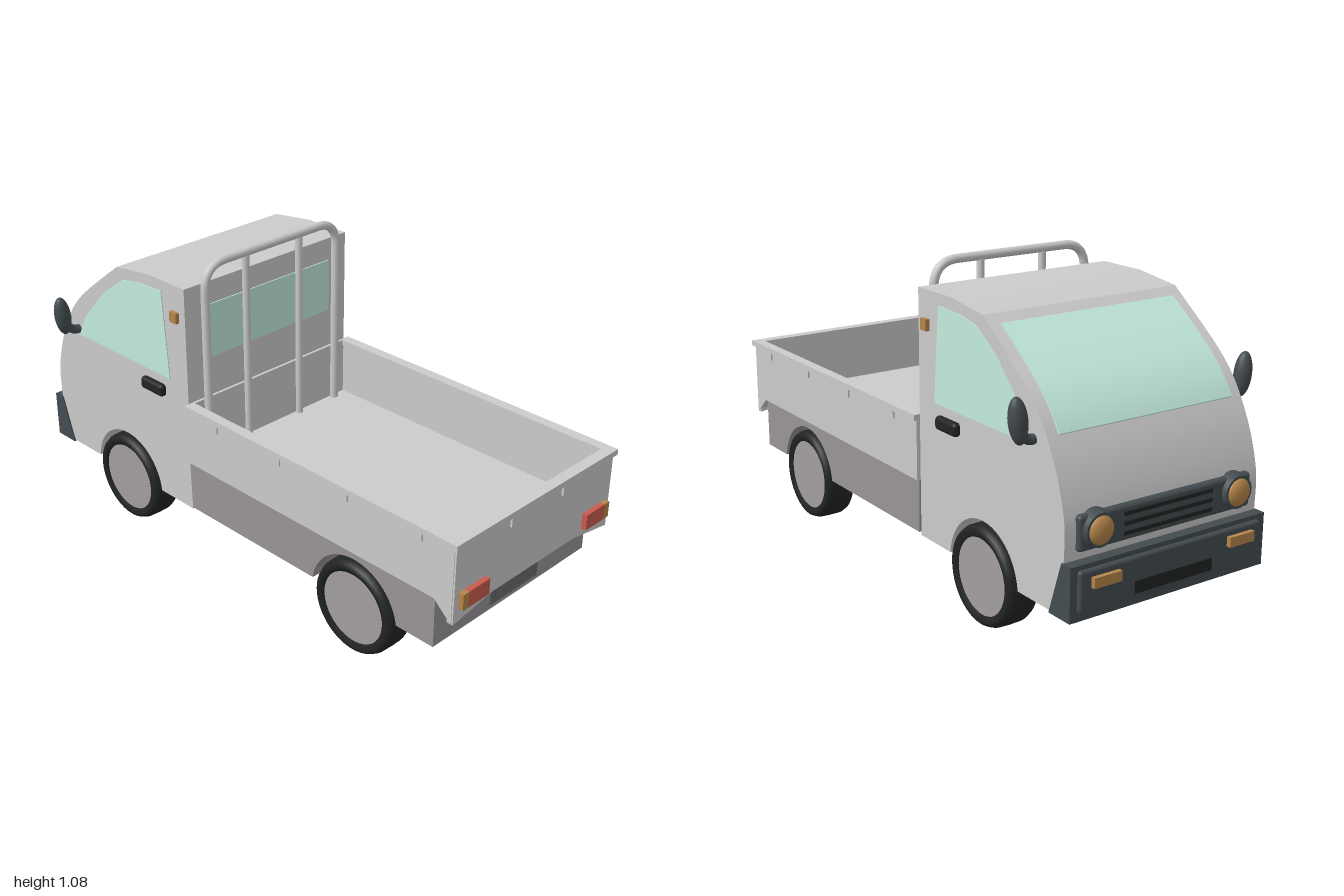
import * as THREE from 'three';
import { toCreasedNormals } from 'three/addons/utils/BufferGeometryUtils.js';
import { RoundedBoxGeometry } from 'three/addons/geometries/RoundedBoxGeometry.js';

const mat = (color) => new THREE.MeshStandardMaterial({ color });
const V = (x, y, z) => new THREE.Vector3(x, y, z);

export function createModel() {
  const body = mat(0xcccccc), under = mat(0x989497), tyre = mat(0x222424), hubMat = mat(0xa39d9e),
    glass = mat(0xc4ecdc), amber = mat(0xb5854a), red = mat(0xc85a4a), dark = mat(0x444c50), plateMat = mat(0x666a6c);
  const truck = new THREE.Group();
  truck.name = 'pickupTruck';

  const add = (name, geo, m, x = 0, y = 0, z = 0) => {
    const mesh = new THREE.Mesh(geo, m);
    mesh.name = name;
    mesh.position.set(x, y, z);
    truck.add(mesh);
    return mesh;
  };
  // box given by its limits on each axis
  const box = (name, m, x0, x1, y0, y1, z0, z1) =>
    add(name, new THREE.BoxGeometry(x1 - x0, y1 - y0, z1 - z0), m, (x0 + x1) / 2, (y0 + y1) / 2, (z0 + z1) / 2);
  const shapeOf = (pts) => new THREE.Shape(pts.map(([x, y]) => new THREE.Vector2(x, y)));
  // side profile in x/y, extruded from z0 to z1
  const slab = (shape, z0, z1) => {
    const g = new THREE.ExtrudeGeometry(shape, { depth: z1 - z0, bevelEnabled: false, curveSegments: 28 });
    return toCreasedNormals(g.translate(0, 0, z0), 0.4);
  };
  const FRONT = -0.54, REAR = 0.58, AXLE = 0.163, ARCH = 0.18;
  const arch = (s, x, y) => {
    const a = Math.asin((y - AXLE) / ARCH);
    s.lineTo(x + ARCH * Math.cos(a), y);
    s.absarc(x, AXLE, ARCH, a, Math.PI - a, false);
  };

  // cab with curved nose and wheel arches
  const nose = new THREE.SplineCurve([[-0.935, 0.34], [-0.932, 0.48], [-0.875, 0.645], [-0.77, 0.795], [-0.54, 0.978]]
    .map(([x, y]) => new THREE.Vector2(x, y))).getPoints(40);
  const cab = new THREE.Shape();
  cab.moveTo(-0.37, 1);
  cab.lineTo(-0.19, 1);
  cab.lineTo(-0.19, 0.18);
  arch(cab, FRONT, 0.18);
  cab.lineTo(-0.875, 0.18);
  nose.forEach((p) => cab.lineTo(p.x, p.y));
  add('cab', slab(cab, -0.37, 0.37), body);
  box('frontWheelWell', under, -0.74, -0.34, 0.181, 0.36, -0.26, 0.26);

  // windscreen follows the nose curve
  const strip = nose.filter((p) => p.x > -0.855 && p.x < -0.555);
  const outer = strip.map((p) => [p.x - 0.004, p.y + 0.004]);
  const inner = strip.map((p) => [p.x + 0.01, p.y - 0.01]).reverse();
  add('windscreen', slab(shapeOf([...outer, ...inner]), -0.33, 0.33), glass);
  box('rearWindow', glass, -0.195, -0.186, 0.73, 0.92, -0.285, 0.285);

  // chassis
  const chassis = new THREE.Shape();
  chassis.moveTo(-0.19, 0.37);
  chassis.lineTo(0.905, 0.37);
  chassis.lineTo(0.905, 0.19);
  arch(chassis, REAR, 0.19);
  chassis.lineTo(-0.185, 0.19);
  add('chassis', slab(chassis, -0.375, 0.375), under);
  box('rearWheelWell', under, 0.38, 0.78, 0.191, 0.36, -0.26, 0.26);
  add('rearPlate', new RoundedBoxGeometry(0.014, 0.08, 0.24, 2, 0.006), plateMat, 0.906, 0.25, 0);

  // load bed
  box('bedFloor', body, -0.188, 0.96, 0.365, 0.385, -0.37, 0.37);
  box('bedHeadboard', body, -0.188, -0.178, 0.37, 0.59, -0.37, 0.37);
  const sidePanel = shapeOf([[-0.188, 0.37], [0.905, 0.37], [0.972, 0.31], [0.972, 0.575], [-0.188, 0.575]]);
  const tail = slab(shapeOf([[-0.38, 0.31], [-0.2, 0.34], [0.2, 0.34], [0.38, 0.31], [0.38, 0.575], [-0.38, 0.575]]), 0.955, 0.978);
  add('tailgate', tail.rotateY(Math.PI / 2), body);
  box('tailgateRim', body, 0.948, 0.987, 0.57, 0.59, -0.39, 0.39);
  for (const z of [-0.125, 0.125]) box('tailgateLatch', body, 0.975, 0.985, 0.537, 0.572, z - 0.013, z + 0.013);

  // bars behind the cab
  const RX = -0.168, RZ = 0.3, TOP = 1.068, R = 0.09, LOW = 0.385;
  const hoop = new THREE.CurvePath();
  hoop.add(new THREE.LineCurve3(V(RX, LOW, -RZ), V(RX, TOP - R, -RZ)));
  hoop.add(new THREE.QuadraticBezierCurve3(V(RX, TOP - R, -RZ), V(RX, TOP, -RZ), V(RX, TOP, R - RZ)));
  hoop.add(new THREE.LineCurve3(V(RX, TOP, R - RZ), V(RX, TOP, RZ - R)));
  hoop.add(new THREE.QuadraticBezierCurve3(V(RX, TOP, RZ - R), V(RX, TOP, RZ), V(RX, TOP - R, RZ)));
  hoop.add(new THREE.LineCurve3(V(RX, TOP - R, RZ), V(RX, LOW, RZ)));
  add('rackHoop', new THREE.TubeGeometry(hoop, 120, 0.015, 12), body);
  for (const z of [-0.122, 0.122])
    add('rackPost', new THREE.CylinderGeometry(0.013, 0.013, TOP - LOW, 12), body, RX, (TOP + LOW) / 2, z);

  // bumper and grille
  add('bumper', slab(shapeOf([[-0.972, 0.175], [-0.875, 0.175], [-0.93, 0.345], [-0.972, 0.345]]), -0.375, 0.375), dark);
  add('bumperBar', new RoundedBoxGeometry(0.03, 0.13, 0.7, 2, 0.01), dark, -0.97, 0.265, 0);
  box('bumperIntake', tyre, -0.987, -0.97, 0.215, 0.255, -0.15, 0.15);
  add('grille', new RoundedBoxGeometry(0.03, 0.11, 0.66, 3, 0.012), dark, -0.938, 0.425, 0);
  for (const y of [0.395, 0.425, 0.455]) box('grilleSlat', tyre, -0.957, -0.94, y - 0.006, y + 0.006, -0.17, 0.17);

  // wheel cross-section (radius, offset along the axle)
  const tyreProfile = [[0.125, -0.05], [0.142, -0.058], [0.155, -0.052], [0.162, -0.036], [0.163, 0],
    [0.162, 0.036], [0.155, 0.052], [0.142, 0.058], [0.125, 0.05], [0.125, -0.05]].map(([r, h]) => new THREE.Vector2(r, h));
  const tyreGeo = new THREE.LatheGeometry(tyreProfile, 48).rotateX(Math.PI / 2);
  const hubGeo = new THREE.CylinderGeometry(0.128, 0.128, 0.094, 48).rotateX(Math.PI / 2);
  for (const x of [FRONT, REAR])
    add('axle', new THREE.CylinderGeometry(0.018, 0.018, 0.6, 16).rotateX(Math.PI / 2), body, x, AXLE + 0.007, 0);

  // everything that repeats on both sides
  const windowShape = shapeOf([[-0.785, 0.65], [-0.28, 0.65], [-0.305, 0.962], [-0.42, 0.957], [-0.51, 0.94], [-0.61, 0.87], [-0.74, 0.735]]);
  for (const s of [-1, 1]) {
    const span = (a, b) => (s > 0 ? [a, b] : [-b, -a]);
    for (const x of [FRONT, REAR]) {
      add('tyre', tyreGeo, tyre, x, AXLE, s * 0.328);
      add('hub', hubGeo, hubMat, x, AXLE, s * 0.328);
    }
    add('sideWindow', slab(windowShape, ...span(0.365, 0.373)), glass);
    add('doorHandle', new RoundedBoxGeometry(0.115, 0.045, 0.03, 4, 0.014), tyre, -0.363, 0.597, s * 0.378);
    box('sideMarker', amber, -0.253, -0.22, 0.873, 0.91, ...span(0.365, 0.384));

    add('bedSide', slab(sidePanel, ...span(0.357, 0.382)), body);
    box('bedSideRim', body, -0.188, 0.98, 0.57, 0.59, ...span(0.353, 0.39));
    for (const x of [-0.042, 0.253, 0.547, 0.843])
      box('bedSideLatch', body, x - 0.011, x + 0.011, 0.543, 0.572, ...span(0.38, 0.388));

    box('tailLight', red, 0.97, 0.996, 0.36, 0.415, ...span(0.24, 0.335));
    box('rearIndicator', amber, 0.97, 0.996, 0.36, 0.415, ...span(0.335, 0.36));
    box('frontIndicator', amber, -1, -0.97, 0.276, 0.308, ...span(0.21, 0.31));

    add('headlightRing', new THREE.CylinderGeometry(0.052, 0.06, 0.05, 32).rotateZ(Math.PI / 2), dark, -0.945, 0.432, s * 0.265);
    add('headlight', new THREE.SphereGeometry(0.045, 24, 16).scale(0.5, 1, 1), amber, -0.965, 0.432, s * 0.265);

    // mirror head on a curved arm
    const arm = new THREE.CatmullRomCurve3([V(-0.79, 0.67, s * 0.36), V(-0.79, 0.675, s * 0.395), V(-0.795, 0.71, s * 0.43)]);
    add('mirrorArm', new THREE.TubeGeometry(arm, 16, 0.016, 10), dark);
    const head = add('mirrorHead', new THREE.SphereGeometry(1, 24, 16).scale(0.027, 0.072, 0.03), dark, -0.797, 0.735, s * 0.43);
    head.rotation.x = s * 0.12;
  }
  return truck;
}
